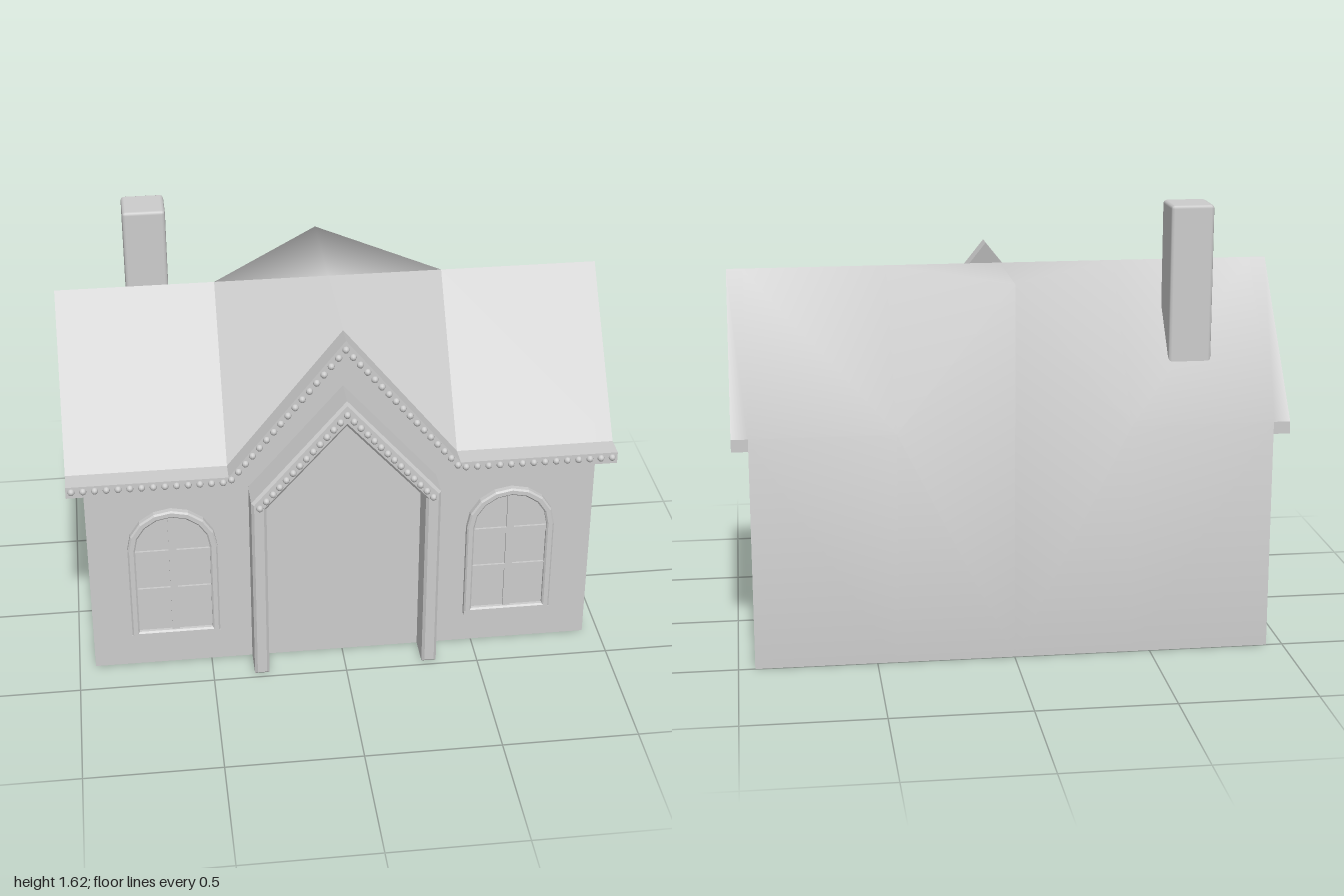
import * as THREE from 'three';
import { RoundedBoxGeometry } from 'three/addons/geometries/RoundedBoxGeometry.js';

const mat = new THREE.MeshStandardMaterial({ color: 0xcccccc });
const sheetMat = new THREE.MeshStandardMaterial({ color: 0xcccccc, side: THREE.DoubleSide });

const RIDGE = 1.38, RIDGE_Z = -0.07, EAVE = 0.855, SOFFIT = 0.81;
const FRONT = 0.36, LIP = 0.44, BACK = -0.5, VALLEY = 0.42, WALL = 0.94;
const roofY = (x) => Math.max(EAVE, RIDGE - (RIDGE - EAVE) * Math.abs(x) / VALLEY);

export function createModel() {
  const model = new THREE.Group();

  const add = (name, geometry, x = 0, y = 0, z = 0, parent = model, material = mat) => {
    const mesh = new THREE.Mesh(geometry, material);
    mesh.name = name;
    mesh.position.set(x, y, z);
    parent.add(mesh);
    return mesh;
  };
  const shapeOf = (pts) => new THREE.Shape(pts.map(([x, y]) => new THREE.Vector2(x, y)));
  const extrude = (shape, depth, bevel = 0) => new THREE.ExtrudeGeometry(shape, {
    depth: depth - bevel, curveSegments: 4, bevelEnabled: bevel > 0,
    bevelThickness: bevel, bevelSize: bevel, bevelOffset: -bevel, bevelSegments: 1,
  });
  // Extrudes a (z, y) profile along x, starting at x0
  const extrudeX = (pts, x0, width) =>
    extrude(shapeOf(pts.map(([z, y]) => [-z, y])), width).rotateY(Math.PI / 2).translate(x0, 0, 0);

  // Walls: gabled prism plus the front cross-gable face
  add('walls', extrudeX([[BACK + 0.002, 0], [FRONT, 0], [FRONT, SOFFIT], [RIDGE_Z, 1.335],
    [BACK + 0.002, SOFFIT]], -WALL, 2 * WALL));
  add('frontGableWall', new THREE.ShapeGeometry(shapeOf(
    [[-VALLEY, SOFFIT - 0.01], [VALLEY, SOFFIT - 0.01], [0, 1.33]])), 0, 0, FRONT + 0.001);

  // Front roof: each panel runs from the straight ridge to the zigzag eave
  const pos = [], nor = [];
  const quad = (a, b, c, d) => {
    const n = c.clone().sub(a).cross(d.clone().sub(b)).normalize();
    for (const p of [a, b, c, a, c, d]) {
      pos.push(p.x, p.y, p.z);
      nor.push(n.x, n.y, n.z);
    }
  };
  const cols = [-1, -VALLEY, 0, VALLEY, 1];
  for (let i = 0; i < 4; i++) {
    const ridge = (x) => new THREE.Vector3(x, RIDGE, RIDGE_Z);
    const eave = (x) => new THREE.Vector3(x, roofY(x), FRONT);
    const l = cols[i], r = cols[i + 1];
    if (i < 2) quad(eave(l), eave(r), ridge(r), ridge(l));
    else quad(ridge(l), eave(l), eave(r), ridge(r));
  }
  const frontRoof = new THREE.BufferGeometry();
  frontRoof.setAttribute('position', new THREE.Float32BufferAttribute(pos, 3));
  frontRoof.setAttribute('normal', new THREE.Float32BufferAttribute(nor, 3));
  add('frontRoof', frontRoof, 0, 0, 0, model, sheetMat);

  // Back roof flows smoothly into the back wall, one half per side
  for (const s of [1, -1]) {
    const p = [], index = [];
    const xs = [0, VALLEY, WALL, 1];
    for (const x of xs) p.push(s * x, RIDGE, RIDGE_Z, s * x, roofY(x), BACK, s * x, 0, BACK);
    for (let i = 0; i < 3; i++) {
      for (let row = 0; row < (i < 2 ? 2 : 1); row++) {
        const a = i * 3 + row, b = a + 3;
        const faces = [a + 1, a, b, a + 1, b, b + 1];
        index.push(...(s > 0 ? faces : faces.reverse()));
      }
    }
    const g = new THREE.BufferGeometry();
    g.setAttribute('position', new THREE.Float32BufferAttribute(p, 3));
    g.setIndex(index);
    g.computeVertexNormals();
    add(s > 0 ? 'leftBackRoofAndWall' : 'rightBackRoofAndWall', g, 0, 0, 0, model, sheetMat);
  }

  // Front eave board following the zigzag, and barge boards on the end gables
  add('eaveBoard', extrude(shapeOf([[-1, SOFFIT], [-VALLEY - 0.015, SOFFIT], [0, 1.31],
    [VALLEY + 0.015, SOFFIT], [1, SOFFIT], [1, EAVE], [VALLEY, EAVE], [0, RIDGE],
    [-VALLEY, EAVE], [-1, EAVE]]), LIP - FRONT), 0, 0, FRONT);
  const barge = [[BACK, SOFFIT], [BACK, EAVE], [RIDGE_Z, RIDGE], [FRONT, EAVE],
    [LIP, EAVE], [LIP, SOFFIT], [FRONT, SOFFIT], [RIDGE_Z, 1.335]];
  add('leftBargeBoard', extrudeX(barge, WALL, 1 - WALL));
  add('rightBargeBoard', extrudeX(barge, -1, 1 - WALL));

  // Rows of beads, mirrored left and right
  const bead = new THREE.SphereGeometry(0.013, 8, 6);
  const beadRow = (name, from, to, count, z) => {
    const row = new THREE.Group();
    row.name = name;
    for (let i = 0; i < count; i++) {
      const t = i / (count - 1);
      const x = THREE.MathUtils.lerp(from[0], to[0], t), y = THREE.MathUtils.lerp(from[1], to[1], t);
      for (const s of x > 0.001 ? [1, -1] : [1]) add('bead', bead, s * x, y, z, row);
    }
    model.add(row);
  };
  beadRow('eaveBeads', [0.98, 0.835], [0.44, 0.835], 14, LIP);
  beadRow('gableBeads', [0.41, 0.845], [0, 1.345], 17, LIP);
  beadRow('portalBeads', [0.315, 0.745], [0, 1.11], 14, 0.488);

  // Portal: pointed door surround standing out from the wall
  add('doorSurround', extrude(shapeOf([[0.345, 0], [0.345, 0.76], [0, 1.16], [-0.345, 0.76],
    [-0.345, 0], [-0.29, 0], [-0.29, 0.735], [0, 1.06], [0.29, 0.735], [0.29, 0]]),
  0.125, 0.01), 0, 0, FRONT);

  // Arched windows
  const archPath = (PathType, half, bottom, spring) => new PathType()
    .moveTo(-half, bottom).lineTo(half, bottom).lineTo(half, spring)
    .absarc(0, spring, half, 0, Math.PI, false);
  for (const s of [1, -1]) {
    const win = new THREE.Group();
    win.name = s > 0 ? 'leftWindow' : 'rightWindow';
    win.position.set(s * 0.63, 0, FRONT);
    const frame = archPath(THREE.Shape, 0.165, 0.13, 0.525);
    frame.holes.push(archPath(THREE.Path, 0.137, 0.16, 0.525));
    add('frame', extrude(frame, 0.026, 0.006), 0, 0, 0, win);
    add('glass', new THREE.ShapeGeometry(archPath(THREE.Shape, 0.15, 0.14, 0.525), 4), 0, 0, 0.008, win);
    add('mullion', new THREE.BoxGeometry(0.028, 0.51, 0.016), 0, 0.405, 0.008, win);
    for (const y of [0.34, 0.505]) add('glazingBar', new THREE.BoxGeometry(0.29, 0.022, 0.016), 0, y, 0.008, win);
    add('sill', new THREE.BoxGeometry(0.33, 0.018, 0.026), 0, 0.139, 0.013, win);
    model.add(win);
  }

  // Chimney
  add('chimney', new RoundedBoxGeometry(0.157, 0.62, 0.16, 1, 0.012), -0.662, 1.31, -0.26);

  return model;
}
